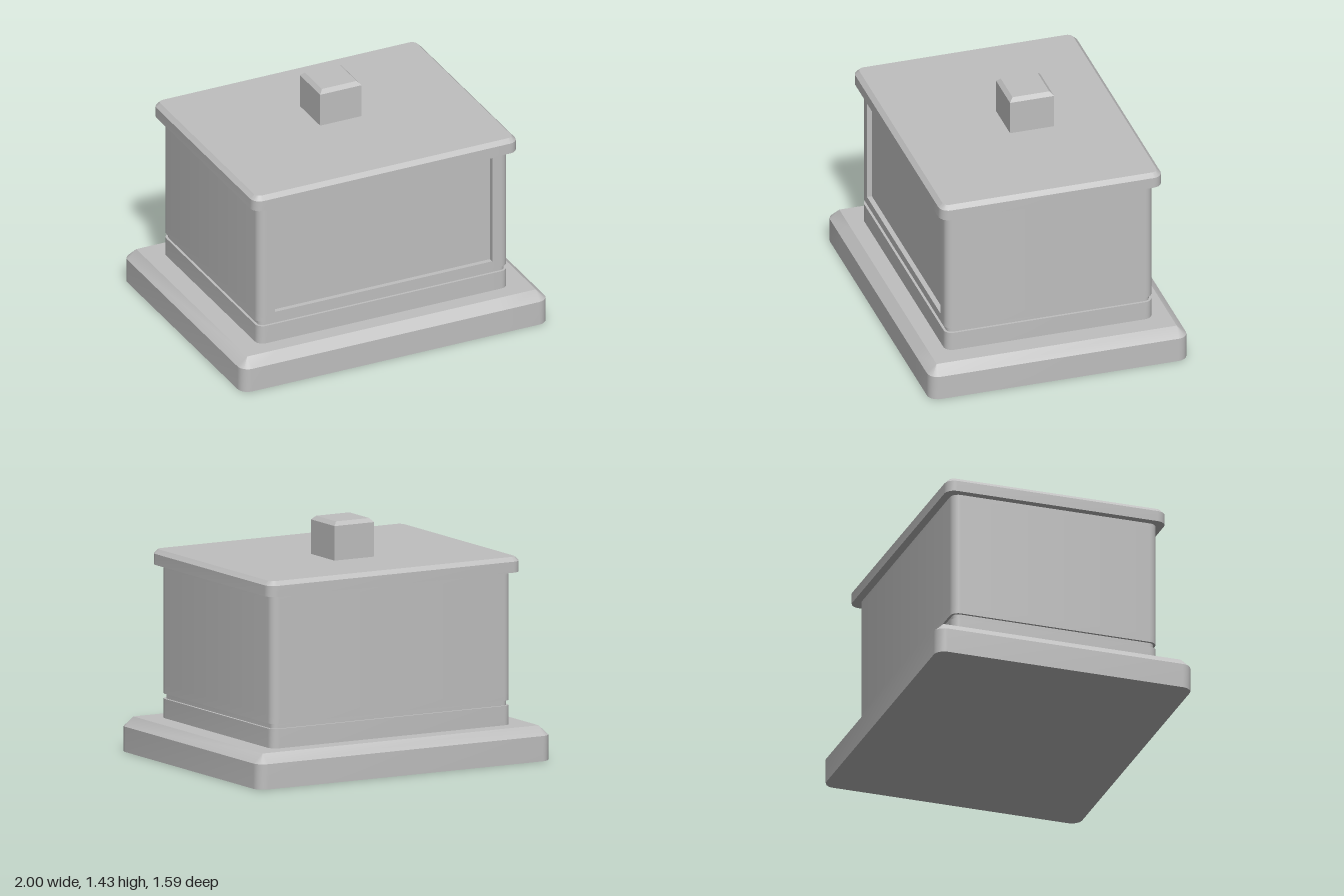
import * as THREE from 'three';
import { toCreasedNormals } from 'three/addons/utils/BufferGeometryUtils.js';

const CORNER_STEPS = 6;
const PANEL_LEFT = 0.707, PANEL_RIGHT = -0.71;

// Rounded rectangle at height y; the front side can be pushed in by `recess` over the panel width.
function ring({ y, w, d, r = 0, recess = 0 }) {
  const points = [];
  for (let q = 0; q < 4; q++) {
    const sx = q === 0 || q === 3 ? 1 : -1;
    const sz = q < 2 ? -1 : 1;
    for (let i = 0; i <= CORNER_STEPS; i++) {
      const a = (q + i / CORNER_STEPS) * Math.PI / 2;
      points.push(new THREE.Vector3(sx * (w - r) + r * Math.cos(a), y, sz * (d - r) - r * Math.sin(a)));
    }
    if (q === 2) {
      // Clamping keeps the panel edges on the front side of narrow sections
      const x0 = Math.max(PANEL_RIGHT, r - w), x1 = Math.min(PANEL_LEFT, w - r);
      points.push(
        new THREE.Vector3(x0, y, d), new THREE.Vector3(x0, y, d - recess),
        new THREE.Vector3(x1, y, d - recess), new THREE.Vector3(x1, y, d));
    }
  }
  return points;
}

// Skins a stack of sections and closes both ends.
function loft(sections) {
  const rings = sections.map(ring);
  const positions = [];
  const triangle = (a, b, c) => {
    const area = b.clone().sub(a).cross(c.clone().sub(a)).length();
    if (area > 1e-9) for (const p of [a, b, c]) positions.push(p.x, p.y, p.z);
  };
  const count = rings[0].length;
  const last = rings[rings.length - 1];
  const bottom = new THREE.Vector3(0, rings[0][0].y, 0);
  const top = new THREE.Vector3(0, last[0].y, 0);
  for (let j = 0; j < count; j++) {
    const k = (j + 1) % count;
    for (let i = 0; i < rings.length - 1; i++) {
      const lower = rings[i], upper = rings[i + 1];
      triangle(lower[j], lower[k], upper[k]);
      triangle(lower[j], upper[k], upper[j]);
    }
    triangle(bottom, rings[0][k], rings[0][j]);
    triangle(top, last[j], last[k]);
  }
  const geometry = new THREE.BufferGeometry();
  geometry.setAttribute('position', new THREE.Float32BufferAttribute(positions, 3));
  return toCreasedNormals(geometry, 0.5);
}

export function createModel() {
  const group = new THREE.Group();
  const grey = new THREE.MeshStandardMaterial({ color: 0xbfbfbf });
  grey.name = 'grey';

  const add = (name, sections, x = 0, z = 0) => {
    const mesh = new THREE.Mesh(loft(sections), grey);
    mesh.name = name;
    mesh.position.set(x, 0, z);
    group.add(mesh);
  };

  // Plinth with a wide chamfer running up to square corners
  add('plinth', [
    { y: 0, w: 1, d: 0.795, r: 0.065 },
    { y: 0.15, w: 1, d: 0.795, r: 0.065 },
    { y: 0.205, w: 0.94, d: 0.737 },
  ]);

  // Body with a groove all round and a recessed front panel
  const body = { w: 0.816, d: 0.637, r: 0.05 };
  const groove = { w: 0.801, d: 0.622, r: 0.035 };
  const recess = 0.03;
  add('body', [
    { y: 0.2, ...body },
    { y: 0.32, ...body },
    { y: 0.32, ...groove },
    { y: 0.35, ...groove },
    { y: 0.35, ...body },
    { y: 0.4, ...body },
    { y: 0.4, ...body, recess },
    { y: 1.085, ...body, recess },
    { y: 1.085, ...body },
    { y: 1.12, ...body },
  ], -0.002, 0.002);

  // Overhanging lid with a small chamfer
  add('lid', [
    { y: 1.115, w: 0.862, d: 0.682, r: 0.06 },
    { y: 1.18, w: 0.862, d: 0.682, r: 0.06 },
    { y: 1.205, w: 0.837, d: 0.657, r: 0.035 },
  ], -0.002, 0);

  // Square block on the lid, set off centre
  add('topBlock', [
    { y: 1.2, w: 0.135, d: 0.135 },
    { y: 1.41, w: 0.135, d: 0.135 },
    { y: 1.433, w: 0.113, d: 0.113 },
  ], 0.015, -0.1);

  return group;
}
